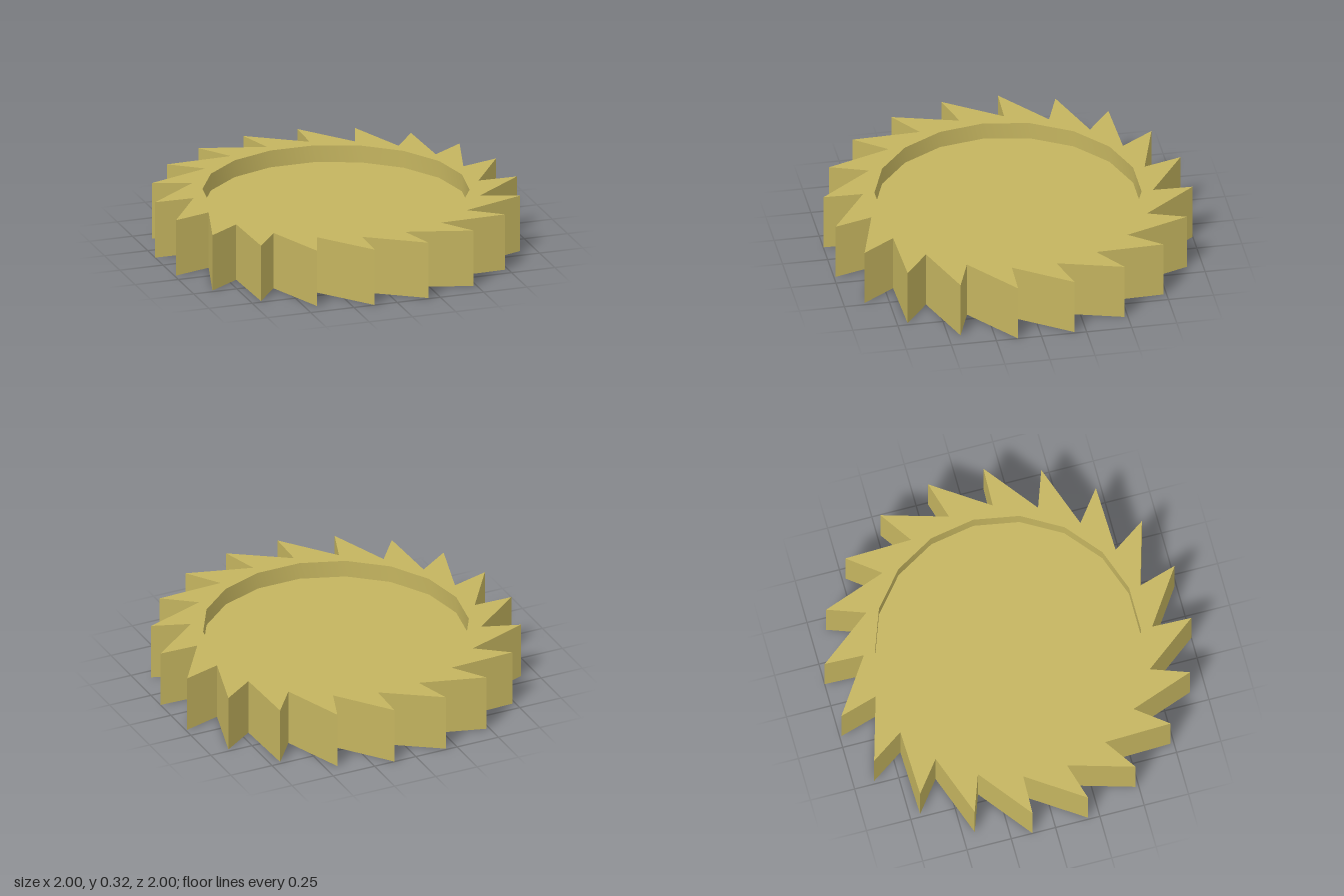
import * as THREE from 'three';
import { toCreasedNormals } from 'three/addons/utils/BufferGeometryUtils.js';

const TEETH = 20;
const HEIGHT = 0.32;
const RECESS = 0.097;
const TIP_R = 1.008;
const VALLEY_R = 0.79;
const HOLE_R = 0.728;
const HOLE_SIDES = 18;

const polar = (r, degrees) => {
  const a = THREE.MathUtils.degToRad(degrees);
  return new THREE.Vector2(r * Math.cos(a), r * Math.sin(a));
};

export function createModel() {
  const brass = new THREE.MeshStandardMaterial({ color: 0xc4b45f });
  brass.name = 'brass';

  // Saw-tooth outline: each tip leans slightly past its own valley
  const outline = [];
  for (let i = 0; i < TEETH; i++) {
    const a = 9 + (i * 360) / TEETH;
    outline.push(polar(TIP_R, a + 1.6), polar(VALLEY_R, a));
    // the long flank runs from this tip to the previous valley
    outline.push(...outline.splice(-2));
  }
  const shape = new THREE.Shape(outline);

  // Polygonal centre opening
  const hole = [];
  for (let i = 0; i < HOLE_SIDES; i++) hole.push(polar(HOLE_R, (-i * 360) / HOLE_SIDES));
  shape.holes.push(new THREE.Path(hole));

  // Toothed rim, with a softly shaded inner wall and crisp teeth
  let rimGeometry = new THREE.ExtrudeGeometry(shape, { depth: HEIGHT, bevelEnabled: false });
  rimGeometry.rotateX(-Math.PI / 2);
  rimGeometry = toCreasedNormals(rimGeometry, 0.5);
  const rim = new THREE.Mesh(rimGeometry, brass);
  rim.name = 'toothedRim';

  // Web disc, recessed equally on both faces
  const web = new THREE.Mesh(
    new THREE.CylinderGeometry(HOLE_R, HOLE_R, HEIGHT - 2 * RECESS, HOLE_SIDES, 1, false, Math.PI / 2),
    brass
  );
  web.position.y = HEIGHT / 2;
  web.name = 'webDisc';

  const group = new THREE.Group();
  group.name = 'ratchetWheel';
  group.add(rim, web);
  return group;
}
